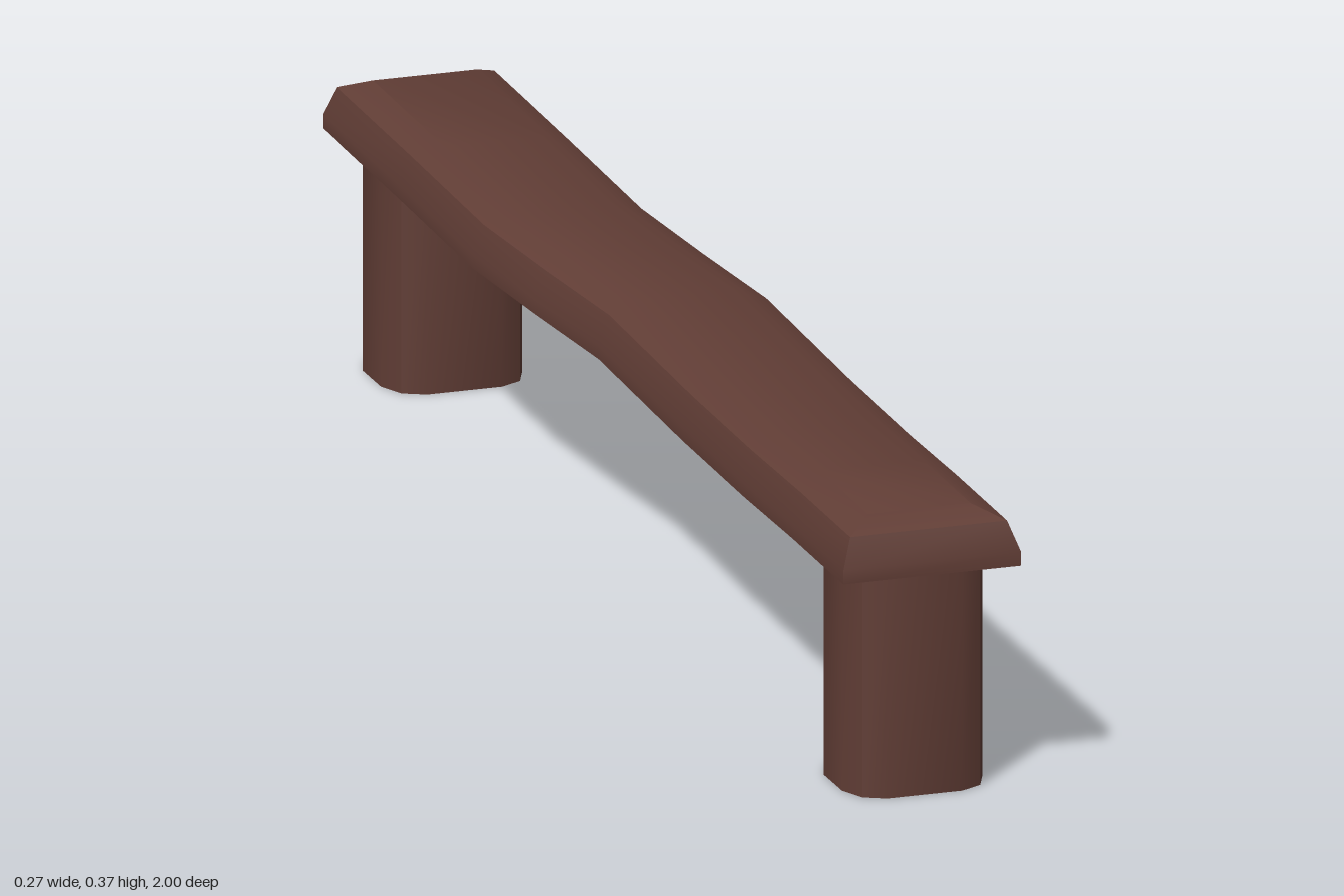
import * as THREE from 'three';
import { toCreasedNormals } from 'three/addons/utils/BufferGeometryUtils.js';

// Stations along the seat: z, sideways bend, sag
const stations = [
  [-1, -0.007, 0], [-0.7, -0.011, 0.001], [-0.4, -0.016, 0.003],
  [-0.2, -0.002, 0.005], [0, 0.014, 0.006], [0.35, 0.005, 0.008],
  [0.6, -0.001, 0.005], [0.8, -0.005, 0], [1, -0.007, 0],
];
// Layers of the seat shell from the lower rim to the top: inset, height
const layers = [[0, 0.3], [0, 0.318], [0.014, 0.357], [0.05, 0.373]];
const HALF_WIDTH = 0.119;

function makeGeometry(pos, idx, crease) {
  const g = new THREE.BufferGeometry();
  g.setAttribute('position', new THREE.Float32BufferAttribute(pos, 3));
  g.setIndex(idx);
  return toCreasedNormals(g, crease);
}

// Thin seat shell, open underneath
function seatGeometry() {
  const n = stations.length, ring = 2 * n;
  const pos = [], idx = [];
  for (const [inset, height] of layers) {
    const addPoint = (side, [z, bend, sag]) =>
      pos.push(bend + side * (HALF_WIDTH - inset), height - sag, z * (1 - inset));
    for (const s of stations) addPoint(1, s);
    for (const s of [...stations].reverse()) addPoint(-1, s);
  }
  // Sides between neighbouring layers
  for (let l = 0; l < layers.length - 1; l++) {
    for (let i = 0; i < ring; i++) {
      const a = l * ring + i, b = l * ring + (i + 1) % ring;
      idx.push(a, a + ring, b, b, a + ring, b + ring);
    }
  }
  // Top strips
  const top = (layers.length - 1) * ring;
  for (let i = 0; i < n - 1; i++) {
    const r = top + i, l = top + ring - 1 - i;
    idx.push(r, l, r + 1, r + 1, l, l - 1);
  }
  return makeGeometry(pos, idx, 0.5);
}

// Hollow leg with bowed sides, open at the bottom
function legGeometry() {
  const quarter = [[0.094, 0.035], [0.079, 0.07], [0.05, 0.085]];
  const flipped = [...quarter].reverse();
  const outline = [
    ...quarter,
    ...flipped.map(([x, z]) => [-x, z]),
    ...quarter.map(([x, z]) => [-x, -z]),
    ...flipped.map(([x, z]) => [x, -z]),
  ];
  const pos = [], idx = [], n = outline.length;
  outline.forEach(([x, z], i) => {
    pos.push(x, 0, z, x, 0.302, z);
    const a = 2 * i, b = 2 * ((i + 1) % n);
    idx.push(a, a + 1, b, b, a + 1, b + 1);
  });
  return makeGeometry(pos, idx, 0.6);
}

export function createModel() {
  const model = new THREE.Group();
  model.name = 'bench';
  const wood = new THREE.MeshStandardMaterial({ color: 0x623e36, side: THREE.DoubleSide });
  wood.name = 'dark brown wood';

  const seat = new THREE.Mesh(seatGeometry(), wood);
  seat.name = 'seat';
  model.add(seat);

  const leg = legGeometry();
  for (const [name, z] of [['frontLeg', 0.885], ['backLeg', -0.885]]) {
    const mesh = new THREE.Mesh(leg, wood);
    mesh.name = name;
    mesh.position.set(-0.006, 0, z);
    model.add(mesh);
  }
  return model;
}
